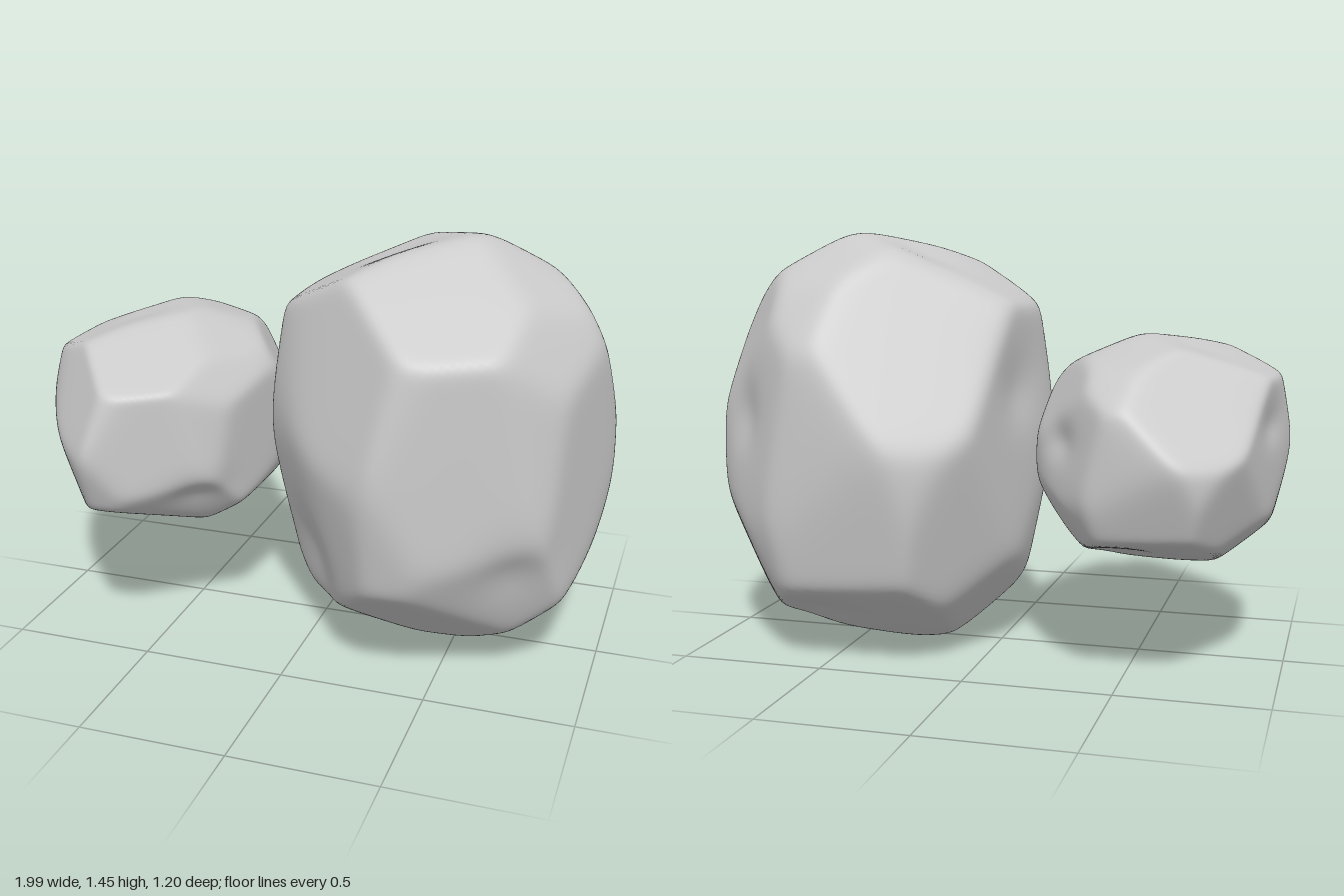
import * as THREE from 'three';
import { mergeVertices } from 'three/addons/utils/BufferGeometryUtils.js';

const V = (x, y, z) => new THREE.Vector3(x, y, z);

// Every edge of a convex outline becomes a plane that cuts the stone,
// kept as its normal divided by its distance from the centre.
function cuts(right, up, outline) {
  return outline.map(([a, b], i) => {
    const [c, d] = outline[(i + 1) % outline.length];
    const nx = d - b, ny = a - c, dist = nx * a + ny * b;
    return V(0, 0, 0).addScaledVector(right, nx / dist).addScaledVector(up, ny / dist);
  });
}

// Slanted outlines trim the corners; sx and sz choose the diagonal.
const slantedCuts = (sx, sz, outline) => cuts(
  V(sx, 0, sz).multiplyScalar(Math.SQRT1_2),
  V(sz, Math.sqrt(6), -sx).multiplyScalar(Math.SQRT1_2 / 2),
  outline,
);

// Main outlines: width by height, depth by height, width by depth
const frontCuts = cuts(V(1, 0, 0), V(0, 1, 0), [
  [-.58, .01], [-.52, .47], [-.12, .68], [.2, .74], [.41, .63],
  [.55, .36], [.58, -.06], [.53, -.34], [.36, -.67], [-.14, -.74], [-.34, -.67], [-.49, -.5]]);
const sideCuts = cuts(V(0, 0, 1), V(0, 1, 0), [
  [.61, .03], [.53, .54], [.08, .74], [-.22, .69], [-.4, .6], [-.55, .36],
  [-.6, .04], [-.5, -.48], [-.03, -.74], [.2, -.71], [.5, -.52]]);
const topCuts = cuts(V(1, 0, 0), V(0, 0, 1), [
  [-.58, .13], [-.42, -.47], [-.17, -.6], [.27, -.53], [.46, -.35],
  [.58, -.15], [.43, .4], [-.09, .61], [-.27, .52], [-.42, .36]]);

// Corner outlines
const cornerCutsA = slantedCuts(1, -1, [
  [-.56, .05], [-.46, .55], [-.29, .65], [.21, .73], [.49, .42],
  [.57, -.2], [.42, -.52], [.04, -.69], [-.46, -.46]]);
const cornerCutsB = slantedCuts(-1, 1, [
  [-.565, -.245], [-.49, -.52], [.1, -.755], [.39, -.6], [.55, .05],
  [.4, .56], [-.04, .68], [-.35, .59], [-.54, .19]]);
const cornerCutsC = slantedCuts(1, 1, [
  [.575, -.16], [.53, .3], [.31, .65], [.09, .69], [-.27, .64],
  [-.61, .05], [-.48, -.435], [-.25, -.675], [.29, -.66]]);

const PLANES = [frontCuts, sideCuts, topCuts, cornerCutsA, cornerCutsB, cornerCutsC].flat();

// Directions of the shallow hollows in the facets
const HOLLOWS = [
  V(.38, -.32, .42), V(-.44, -.44, .3), V(.46, .12, -.4),
  V(.14, -.58, -.28), V(-.14, .6, -.05), V(-.5, .2, -.12),
].map((dir) => dir.normalize());

// A sphere pushed in to the planes, with softened ridges
function stoneGeometry() {
  const sphere = new THREE.IcosahedronGeometry(1, 40);
  sphere.deleteAttribute('normal');
  sphere.deleteAttribute('uv');
  const geo = mergeVertices(sphere, 1e-5);
  const pos = geo.attributes.position, dir = V(0, 0, 0);
  const sharpness = 50, swell = 1.02;
  for (let i = 0; i < pos.count; i++) {
    dir.fromBufferAttribute(pos, i).normalize();
    let sum = 0;
    for (const n of PLANES) sum += Math.max(0, n.dot(dir)) ** sharpness;
    let r = swell * sum ** (-1 / sharpness);
    for (const h of HOLLOWS) r -= 0.025 * Math.exp((h.dot(dir) - 1) / 0.025);
    pos.setXYZ(i, dir.x * r, dir.y * r, dir.z * r);
  }
  geo.computeVertexNormals();
  return geo;
}

export function createModel() {
  const group = new THREE.Group();
  const material = new THREE.MeshStandardMaterial({ color: 0xcccccc });
  const geometry = stoneGeometry();

  const largeStone = new THREE.Mesh(geometry, material);
  largeStone.name = 'largeStone';
  largeStone.position.set(0.42, 0.74, 0);

  // The small stone is a narrower, flatter copy
  const smallStone = new THREE.Mesh(geometry, material);
  smallStone.name = 'smallStone';
  smallStone.scale.set(0.72, 0.527, 1);
  smallStone.position.set(-0.58, 0.74, 0);

  group.add(largeStone, smallStone);
  return group;
}
